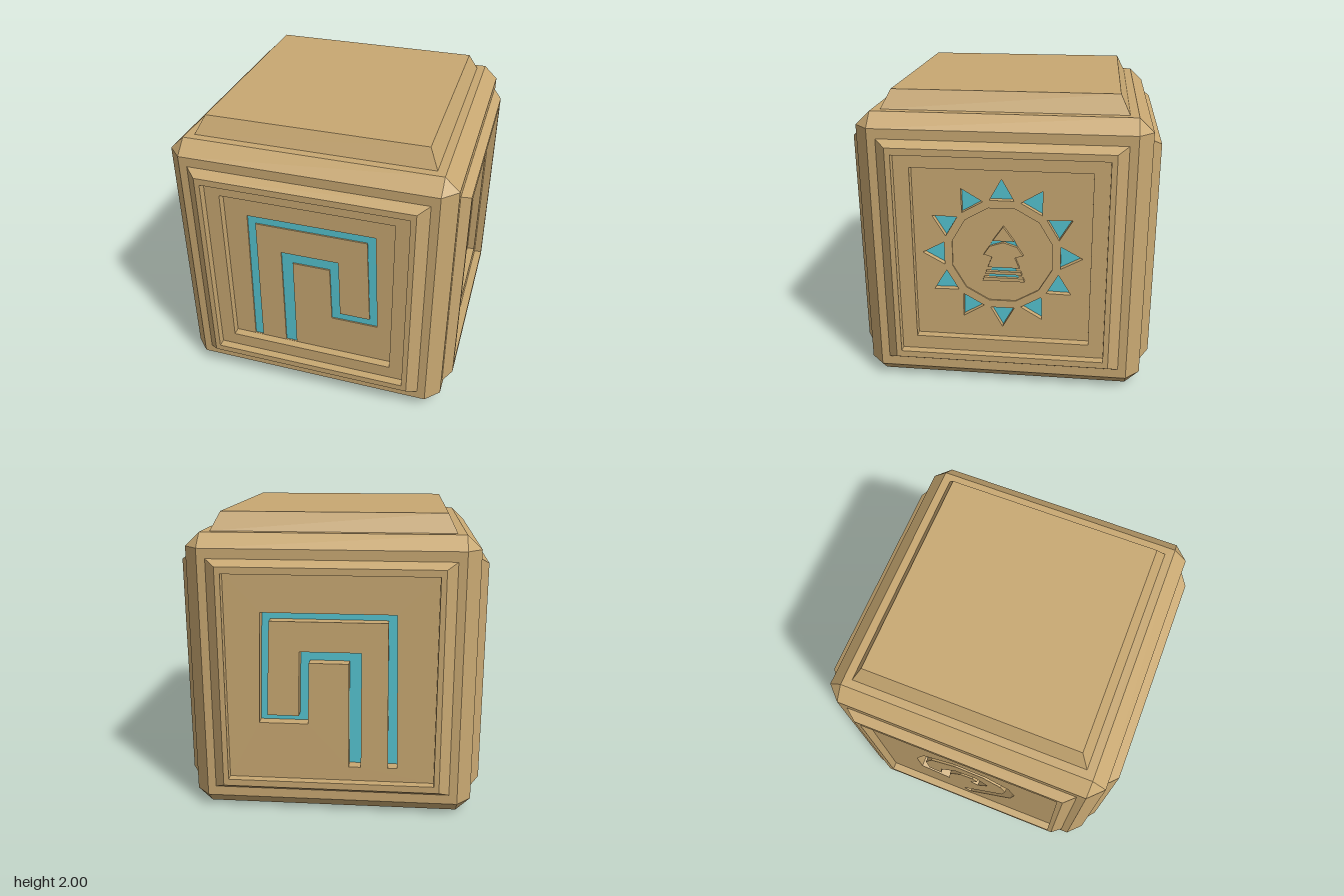
import * as THREE from 'three';

const stone = new THREE.MeshStandardMaterial({ color: 0xc8a872, flatShading: true });
const teal = new THREE.MeshStandardMaterial({ color: 0x55c4d0, flatShading: true });

function mesh(name, geometry, material = stone) {
  const m = new THREE.Mesh(geometry, material);
  m.name = name;
  return m;
}

// Flat faces from convex polygons, corners counter-clockwise
function faces(polygons) {
  const pos = [];
  for (const p of polygons)
    for (let i = 1; i < p.length - 1; i++) pos.push(...p[0], ...p[i], ...p[i + 1]);
  const g = new THREE.BufferGeometry();
  g.setAttribute('position', new THREE.Float32BufferAttribute(pos, 3));
  g.computeVertexNormals();
  return g;
}

// Joins nested rectangles [halfWidth, y0, y1, z], optionally closing the last one
function rectLoft(rects, close = false) {
  const rings = rects.map(([w, a, b, z]) => [[-w, a, z], [w, a, z], [w, b, z], [-w, b, z]]);
  const polys = [];
  for (let r = 0; r < rings.length - 1; r++)
    for (let i = 0; i < 4; i++) {
      const j = (i + 1) % 4;
      polys.push([rings[r][i], rings[r][j], rings[r + 1][j], rings[r + 1][i]]);
    }
  if (close) polys.push(rings[rings.length - 1]);
  return faces(polys);
}

const outline = (pts) => new THREE.Shape(pts.map(([x, y]) => new THREE.Vector2(x, y)));

// Slab between two depths with cut-outs
function slab(pts, z0, z1, holes = []) {
  const s = outline(pts);
  s.holes = holes.map((h) => outline(h));
  return new THREE.ExtrudeGeometry(s, { depth: z1 - z0, bevelEnabled: false }).translate(0, 0, z0);
}

const rect = (w, a, b) => [[-w, a], [w, a], [w, b], [-w, b]];

// Mitred outline of a constant-width stroke along a path
function stroke(path, width) {
  const left = [], right = [];
  path.forEach(([x, y], i) => {
    const p = path[Math.max(i - 1, 0)], q = path[Math.min(i + 1, path.length - 1)];
    const d1 = new THREE.Vector2(x - p[0], y - p[1]).normalize();
    const d2 = new THREE.Vector2(q[0] - x, q[1] - y).normalize();
    const t = d1.clone().add(d2).normalize();
    const ref = i ? d1 : d2;
    const k = width / 2 / Math.max(0.5, t.dot(ref));
    left.push([x - t.y * k, y + t.x * k]);
    right.unshift([x + t.y * k, y - t.x * k]);
  });
  return [...left, ...right];
}

// Squared spiral groove
const spiral = [
  [-0.44, 0.337], [-0.425, 1.385], [0.45, 1.385], [0.475, 0.635], [0.15, 0.635], [0.14, 1.055],
  [-0.12, 1.055], [-0.12, 0.337], [-0.2, 0.337], [-0.2, 1.13], [0.2, 1.13], [0.21, 0.69],
  [0.42, 0.69], [0.395, 1.33], [-0.37, 1.33], [-0.38, 0.337],
];

// Rounded hook groove
const hook = stroke([
  [-0.03, 0.34], [0.31, 0.74], [0.34, 0.9], [0.3, 1.04], [0.15, 1.16], [-0.08, 1.18], [-0.3, 1.06],
  [-0.37, 0.88], [-0.36, 0.66], [-0.2, 0.62], [-0.18, 0.8], [-0.07, 0.94], [0.06, 0.96], [0.12, 0.87], [0.05, 0.76],
], 0.07);

// Sun rays and twelve-sided disc
const CY = 0.94;
const rays = [];
const disc = [];
for (let i = 0; i < 12; i++) {
  const a = (i * Math.PI) / 6, c = Math.cos(a), s = Math.sin(a);
  const at = (r, w) => [c * r - s * w, CY + s * r + c * w];
  rays.push([at(0.385, -0.08), at(0.53, 0), at(0.385, 0.08)]);
  const b = a + Math.PI / 12;
  disc.push([0.343 * Math.cos(b), CY + 0.343 * Math.sin(b)]);
}

// One side: chamfered edges, raised frame and stepped recess
function side(name, angle, twoSteps) {
  const g = new THREE.Group();
  g.name = name;
  g.rotation.y = angle;
  const e = 0.845, f = 0.94;
  g.add(mesh('chamfers', faces([
    [[-e, 1.79, f], [e, 1.79, f], [e, 1.88, e], [-e, 1.88, e]],
    [[-e, 0, e], [e, 0, e], [e, 0.09, f], [-e, 0.09, f]],
    [[e, 0.09, f], [f, 0.09, e], [f, 1.79, e], [e, 1.79, f]],
    [[e, 1.79, f], [f, 1.79, e], [e, 1.88, e]],
    [[e, 0, e], [f, 0.09, e], [e, 0.09, f]],
  ])));
  const rings = [
    [e, 0.09, 1.79, f], [0.79, 0.155, 1.725, f], [0.72, 0.195, 1.685, 1],
    [0.685, 0.24, 1.64, 1], [0.685, 0.24, 1.64, 0.945],
  ];
  if (twoSteps) rings.push([0.583, 0.335, 1.545, 0.945], [0.583, 0.335, 1.545, 0.885]);
  g.add(mesh('frame', rectLoft(rings)));
  return g;
}

// Panel with grooves and the coloured inlay behind it
function panel(g, pts, z0, z1, holes) {
  g.add(mesh('panel', slab(pts, z0, z1, holes)));
  g.add(mesh('inlay', slab(pts, z0 - 0.02, z0 + 0.0005), teal));
}

export function createModel() {
  const model = new THREE.Group();
  model.name = 'carvedBlock';

  // Top cap and base
  const cap = mesh('topCap', rectLoft(
    [[0.845, -0.845, 0.845, 1.88], [0.79, -0.79, 0.79, 1.88], [0.73, -0.73, 0.73, 2]], true));
  cap.rotation.x = -Math.PI / 2;
  const base = mesh('base', rectLoft([[0.845, -0.845, 0.845, 0]], true));
  base.rotation.x = Math.PI / 2;
  model.add(cap, base);

  const small = rect(0.583, 0.335, 1.545), large = rect(0.685, 0.24, 1.64);

  // Front and back share the squared spiral
  const front = side('frontSide', 0, true);
  panel(front, small, 0.88, 0.89, [spiral]);
  const back = side('backSide', Math.PI, false);
  panel(back, large, 0.87, 0.945, [spiral.map(([x, y]) => [-x, y])]);

  // Left side with the hook
  const left = side('hookSide', -Math.PI / 2, false);
  panel(left, large, 0.87, 0.945, [hook]);

  // Right side with the sun
  const right = side('sunSide', Math.PI / 2, true);
  panel(right, small, 0.85, 0.89, [...rays, disc]);
  right.add(mesh('sunDisc', slab(disc, 0.85, 0.88)));

  // Tree emblem on the disc
  const tree = new THREE.Group();
  tree.name = 'treeEmblem';
  tree.position.x = 0.01;
  const raised = [
    [[-0.07, 1.05], [0.07, 1.05], [0, 1.15]],
    [[-0.13, 0.95], [-0.075, 0.935], [-0.105, 0.86], [0.105, 0.86], [0.075, 0.935], [0.13, 0.95],
      [0.09, 1.01], [0, 1.04], [-0.09, 1.01]],
    [[-0.115, 0.83], [-0.122, 0.81], [0.122, 0.81], [0.115, 0.83]],
    [[-0.13, 0.785], [-0.14, 0.76], [0.14, 0.76], [0.13, 0.785]],
  ];
  for (const p of raised) tree.add(mesh('treePart', slab(p, 0.87, 0.905)));
  const bands = [
    [[-0.09, 1.01], [0, 1.04], [0.09, 1.01], [0.07, 1.05], [-0.07, 1.05]],
    [[-0.085, 0.83], [0.085, 0.83], [0.075, 0.86], [-0.075, 0.86]],
    [[-0.1, 0.785], [0.1, 0.785], [0.09, 0.81], [-0.09, 0.81]],
  ];
  for (const p of bands) tree.add(mesh('treeBand', slab(p, 0.87, 0.884), teal));
  right.add(tree);

  model.add(front, back, left, right);
  return model;
}
